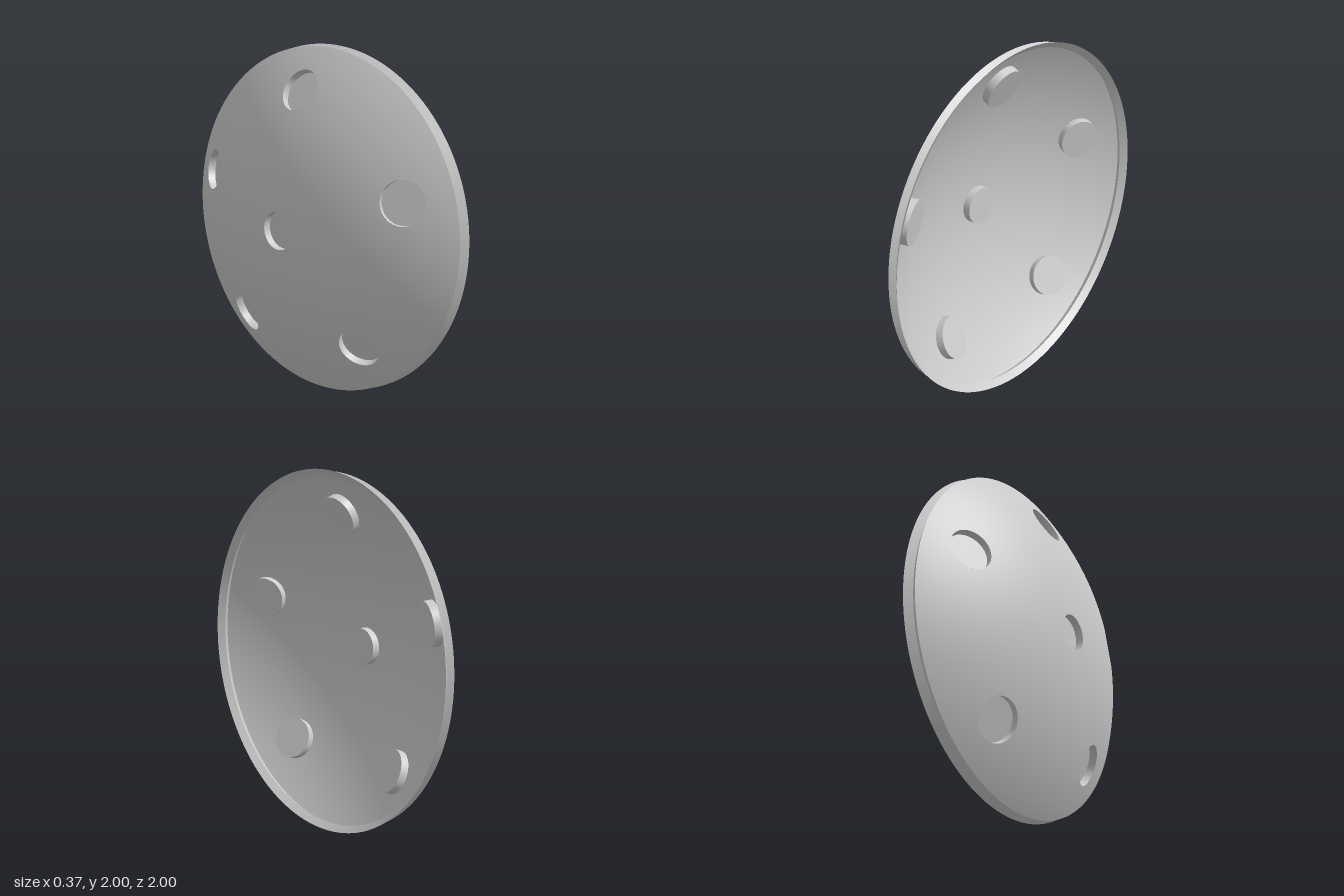
import * as THREE from 'three';

const material = new THREE.MeshStandardMaterial({ color: 0xcccccc, side: THREE.DoubleSide });

// Spherical shell whose axis is x, bulging toward -x
const APEX = -0.19, EDGE_X = 0.12, EDGE_R = 0.99;
const H = EDGE_X - APEX;
const R = (EDGE_R ** 2 + H ** 2) / (2 * H);
const CENTER_X = APEX + R;
const FIELDS = 5, TILT = Math.asin(0.438);
const FIELD_R = 0.12, CENTER_R = 0.107, DEPTH = 0.045;

function mesh(name, geometry) {
  const m = new THREE.Mesh(geometry, material);
  m.name = name;
  return m;
}

// Outline of one annular sector, counter-clockwise in (y, z)
function sectorOutline() {
  const half = Math.PI / FIELDS, pts = [];
  const polar = (r, a) => pts.push([r * Math.cos(a), r * Math.sin(a)]);
  const run = (n, f) => { for (let i = 0; i < n; i++) f(i / n); };
  run(48, s => polar(EDGE_R, half * (2 * s - 1)));
  run(28, s => polar(EDGE_R + (CENTER_R - EDGE_R) * s, half));
  run(12, s => polar(CENTER_R, half * (1 - 2 * s)));
  run(28, s => polar(CENTER_R + (EDGE_R - CENTER_R) * s, -half));
  return pts;
}

// Sector of the dome, lofted from its round opening to its outline
function sectorGeometry() {
  const outline = sectorOutline(), n = outline.length, rows = 12;
  const holeY = Math.sqrt(R * R - FIELD_R ** 2) * Math.sin(TILT);
  const pos = [], nor = [], index = [];
  for (let j = 0; j <= rows; j++) {
    const s = j / rows;
    for (const [oy, oz] of outline) {
      const phi = Math.atan2(oz, oy - holeY);
      const hy = holeY + FIELD_R * Math.cos(TILT) * Math.cos(phi);
      const hz = FIELD_R * Math.sin(phi);
      const y = hy + (oy - hy) * s, z = hz + (oz - hz) * s;
      const dx = -Math.sqrt(R * R - y * y - z * z);
      pos.push(CENTER_X + dx, y, z);
      nor.push(dx / R, y / R, z / R);
    }
  }
  for (let j = 0; j < rows; j++) {
    for (let i = 0; i < n; i++) {
      const k = (i + 1) % n;
      const a = j * n + i, b = a + n, c = j * n + k, d = c + n;
      index.push(a, c, b, b, c, d);
    }
  }
  const g = new THREE.BufferGeometry();
  g.setAttribute('position', new THREE.Float32BufferAttribute(pos, 3));
  g.setAttribute('normal', new THREE.Float32BufferAttribute(nor, 3));
  g.setIndex(index);
  return g;
}

// Round pocket pressed inward along the shell's normal
function pocket(name, radius, tilt) {
  const g = new THREE.Group();
  g.name = name;
  const wall = mesh('pocketWall', new THREE.CylinderGeometry(radius, radius, DEPTH, 80, 1, true));
  wall.position.y = -DEPTH / 2;
  const floor = mesh('pocketFloor', new THREE.CircleGeometry(radius, 80));
  floor.rotation.x = -Math.PI / 2;
  floor.position.y = -DEPTH;
  g.add(wall, floor);
  const d = Math.sqrt(R * R - radius * radius);
  g.position.set(CENTER_X - d * Math.cos(tilt), d * Math.sin(tilt), 0);
  g.rotation.z = Math.PI / 2 - tilt;
  return g;
}

// Conical band around the x axis
function band(name, r0, x0, r1, x1) {
  const profile = [new THREE.Vector2(r0, x0), new THREE.Vector2(r1, x1)];
  const m = mesh(name, new THREE.LatheGeometry(profile, 240));
  m.rotation.z = -Math.PI / 2;
  return m;
}

export function createModel() {
  const model = new THREE.Group();
  model.name = 'domedPan';
  const body = new THREE.Group();
  body.name = 'body';
  body.position.y = 1;
  model.add(body);

  // Five dome sectors, each with its round field
  const sector = sectorGeometry();
  for (let k = 0; k < FIELDS; k++) {
    const g = new THREE.Group();
    g.name = 'domeSector';
    g.add(mesh('domeShell', sector), pocket('field', FIELD_R, TILT));
    g.rotation.x = (k * 2 * Math.PI) / FIELDS;
    body.add(g);
  }
  body.add(pocket('centerField', CENTER_R, 0));

  // Grooved rim
  body.add(band('rimGroove', EDGE_R, EDGE_X, 0.967, 0.15));
  body.add(band('rimFlare', 0.967, 0.15, 1, 0.187));
  return model;
}
